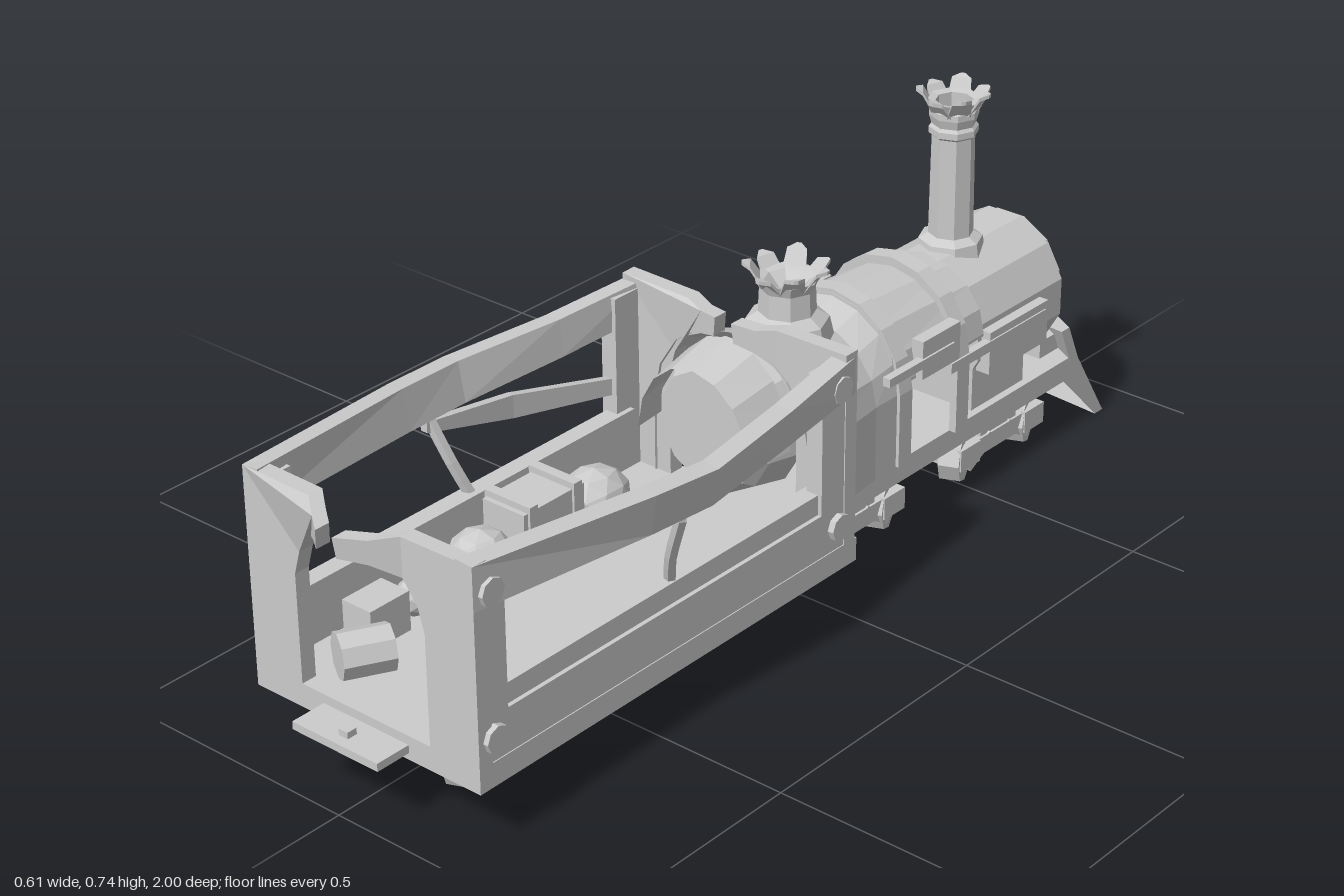
import * as THREE from 'three';

const mat = new THREE.MeshStandardMaterial({ color: 0xcccccc, flatShading: true, side: THREE.DoubleSide });

export function createModel() {
  const root = new THREE.Group();

  const add = (name, geo, x = 0, y = 0, z = 0, parent = root) => {
    const m = new THREE.Mesh(geo, mat);
    m.name = name;
    m.position.set(x, y, z);
    parent.add(m);
    return m;
  };
  // box given by its min and max corners
  const box = (name, x0, x1, y0, y1, z0, z1, parent = root) =>
    add(name, new THREE.BoxGeometry(x1 - x0, y1 - y0, z1 - z0), (x0 + x1) / 2, (y0 + y1) / 2, (z0 + z1) / 2, parent);

  // skin between cross-sections of [x, y, z] points
  const loft = (rings, closed = true, caps = false) => {
    const pos = [];
    const n = rings[0].length;
    for (let r = 0; r < rings.length - 1; r++) {
      for (let i = 0; i < (closed ? n : n - 1); i++) {
        const j = (i + 1) % n, a = rings[r], b = rings[r + 1];
        pos.push(...a[i], ...a[j], ...b[j], ...a[i], ...b[j], ...b[i]);
      }
    }
    if (caps) {
      const first = rings[0], last = rings[rings.length - 1];
      for (let i = 1; i < n - 1; i++) {
        pos.push(...first[0], ...first[i + 1], ...first[i]);
        pos.push(...last[0], ...last[i], ...last[i + 1]);
      }
    }
    const g = new THREE.BufferGeometry();
    g.setAttribute('position', new THREE.Float32BufferAttribute(pos, 3));
    g.computeVertexNormals();
    return g;
  };
  // half-round section standing on straight sides
  const arch = (w, bottom, top, z, spring = 0.3) => {
    const pts = [[w, bottom, z]];
    for (let i = 0; i <= 8; i++) {
      const a = (i / 8) * Math.PI;
      pts.push([w * Math.cos(a), spring + (top - spring) * Math.sin(a), z]);
    }
    pts.push([-w, bottom, z]);
    return pts;
  };
  const ringAt = (r, z, cy = 0.295) => Array.from({ length: 12 }, (_, i) => {
    const a = ((i + 0.5) / 12) * Math.PI * 2;
    return [r * Math.cos(a), cy + r * Math.sin(a), z];
  });

  // chassis
  box('cabFloor', -0.25, 0.25, 0.11, 0.155, -0.01, 0.93);
  box('boilerFloor', -0.14, 0.14, 0.11, 0.155, -0.82, -0.01);
  box('couplerPlate', -0.095, 0.095, 0.123, 0.138, 0.92, 1.0);
  box('couplerPin', -0.01, 0.01, 0.105, 0.15, 0.96, 0.98);

  // bogies: two wheels and a dogbone frame on each side
  for (const z of [0.71, 0.26, -0.17, -0.6]) {
    for (const s of [-1, 1]) {
      const bogie = new THREE.Group();
      bogie.name = 'bogie';
      bogie.position.set(s * 0.098, 0, z);
      root.add(bogie);
      for (const k of [-1, 1]) {
        const wheel = new THREE.CylinderGeometry(0.05, 0.05, 0.04, 8);
        wheel.rotateX(Math.PI / 8).rotateZ(Math.PI / 2);
        add('wheel', wheel, 0, 0.058, k * 0.1, bogie);
        box('axleBox', -0.037, 0.037, 0.045, 0.088, k * 0.1 - 0.03, k * 0.1 + 0.03, bogie);
        const arm = add('frameArm', new THREE.BoxGeometry(0.06, 0.025, 0.08), 0, 0.058, k * 0.06, bogie);
        arm.rotation.x = k * 0.5;
      }
      box('bogieFrame', -0.03, 0.03, 0.05, 0.085, -0.07, 0.07, bogie);
      box('bogieMount', -0.025, 0.025, 0.08, 0.115, -0.055, 0.055, bogie);
    }
  }

  // end walls: mirrored halves round an arched opening, top tips curled outward at the rear
  const wallHalf = (name, s, z, curl) => {
    const outline = [[0.25, 0.155], [0.25, 0.52], [0.1, 0.518], [0.06, 0.51], [0.018, 0.515],
      [0.022, 0.478], [0.06, 0.467], [0.1, 0.445], [0.13, 0.405], [0.143, 0.36], [0.143, 0.155]];
    const shape = new THREE.Shape(outline.map(([x, y]) => new THREE.Vector2(s * x, y)));
    const g = new THREE.ExtrudeGeometry(shape, { depth: 0.03, bevelEnabled: false });
    const p = g.attributes.position;
    for (let i = 0; i < p.count; i++) {
      p.setZ(i, p.getZ(i) + curl * Math.max(0, 0.1 - Math.abs(p.getX(i))));
    }
    g.computeVertexNormals();
    add(name, g, 0, 0, z);
  };
  for (const s of [-1, 1]) {
    wallHalf('rearWall', s, 0.9, 0.8);
    wallHalf('frontWall', s, -0.005, 0.3);
  }

  // cab sides
  for (const s of [-1, 1]) {
    const side = new THREE.Group();
    side.name = 'cabSide';
    side.scale.x = s;
    root.add(side);
    box('lowerPanel', 0.215, 0.248, 0.155, 0.237, 0, 0.93, side);
    box('windowSill', 0.205, 0.24, 0.237, 0.275, 0.05, 0.88, side);
    for (const [a, b] of [[0, 0.085], [0.86, 0.93]]) {
      box('cornerPost', 0.215, 0.248, 0.155, 0.5, a, b, side);
      for (const y of [0.2, 0.465]) {
        const g = new THREE.CylinderGeometry(0.025, 0.025, 0.02, 8);
        add('rivet', g.rotateZ(Math.PI / 2), 0.25, y, (a + b) / 2, side);
      }
    }
    // top rail buckled outward
    const rail = [[0, 0.25, 0.508, 0.44], [0.2, 0.275, 0.495, 0.428], [0.42, 0.305, 0.492, 0.42],
      [0.56, 0.295, 0.5, 0.425], [0.93, 0.25, 0.52, 0.44]]
      .map(([z, x, top, bot]) => {
        const lean = (x - 0.25) * 0.25;
        return [[x, top, z], [x - 0.035, top + 0.003, z], [x - 0.035 - lean, bot, z], [x - lean, bot, z]];
      });
    add('topRail', loft(rail, true, true), 0, 0, 0, side);
    // bent window bar
    const bar = new THREE.CatmullRomCurve3([new THREE.Vector3(0.225, 0.27, 0.45),
      new THREE.Vector3(0.245, 0.33, 0.47), new THREE.Vector3(0.285, 0.425, 0.49)]);
    add('windowBar', new THREE.TubeGeometry(bar, 5, 0.011, 5), 0, 0, 0, side);
  }
  // loose strip hanging below the right rail
  add('hangingStrip', loft([[0.5, -0.285, 0.41, 0.39], [0.3, -0.275, 0.385, 0.34], [0.05, -0.235, 0.335, 0.305]]
    .map(([z, x, t, b]) => [[x, t, z], [x + 0.015, t, z], [x + 0.015, b, z], [x, b, z]]), true, true));

  // firebox flaring toward the cab
  add('firebox', loft([arch(0.175, 0.155, 0.485, 0.03), arch(0.165, 0.155, 0.455, -0.05),
    arch(0.15, 0.155, 0.43, -0.19), arch(0.15, 0.155, 0.45, -0.25)], false));
  add('fireboxHood', loft([arch(0.135, 0.3, 0.475, 0.03), arch(0.125, 0.3, 0.45, 0.13)], false));
  add('backhead', loft([ringAt(0.14, 0, 0.32), ringAt(0.125, 0.07, 0.32), ringAt(0.11, 0.09, 0.32)], true, true));

  // boiler: upper shell above an open middle, bands, smokebox and door
  add('boilerShell', loft([arch(0.147, 0.31, 0.455, -0.25, 0.315), arch(0.14, 0.31, 0.435, -0.52, 0.315)], false));
  for (const z of [-0.27, -0.44]) {
    const out = z - 0.018, w = 0.155;
    add('boilerBand', loft([arch(w - 0.015, 0.155, 0.445, z + 0.018), arch(w, 0.155, 0.462, z + 0.018),
      arch(w, 0.155, 0.462, out), arch(w - 0.015, 0.155, 0.445, out)], false));
  }
  add('smokebox', loft([ringAt(0.14, -0.51), ringAt(0.14, -0.77)], true, true));
  box('smokeboxSaddle', -0.125, 0.125, 0.15, 0.25, -0.67, -0.51);
  add('smokeboxDoor', loft([ringAt(0.12, -0.765, 0.305), ringAt(0.12, -0.79, 0.305),
    ringAt(0.1, -0.795, 0.305), ringAt(0.095, -0.81, 0.305)], true, true));

  // side fittings
  for (const s of [-1, 1]) {
    const fit = new THREE.Group();
    fit.name = 'sideFittings';
    fit.scale.x = s;
    root.add(fit);
    box('sidePanel', 0.135, 0.16, 0.31, 0.385, -0.42, -0.31, fit);
    box('handRail', 0.142, 0.158, 0.285, 0.305, -0.69, -0.4, fit);
    box('handRailUpper', 0.148, 0.164, 0.335, 0.352, -0.4, -0.21, fit);
    box('smokeboxPanel', 0.12, 0.155, 0.235, 0.32, -0.7, -0.52, fit);
  }

  // funnel and dome, each topped by a crown of torn petals
  const lathe = (name, profile, z) =>
    add(name, new THREE.LatheGeometry(profile.map(([r, y]) => new THREE.Vector2(r, y)), 8), 0, 0, z);
  const petals = (y, z, r, len) => {
    for (let i = 0; i < 7; i++) {
      const holder = new THREE.Group();
      holder.name = 'petal';
      holder.position.set(0, y, z);
      holder.rotation.y = (i / 7) * Math.PI * 2 + 0.2;
      root.add(holder);
      const up = i % 2 ? 0.004 : 0.012;
      const rows = [[r - 0.008, -0.015, 0.022], [r + len * 0.5, 0.008 + up, 0.018], [r + len, 0.012 + up, 0.004]]
        .map(([x, h, w]) => [[x, h, -w], [x, h, w], [x, h + 0.007, w], [x, h + 0.007, -w]]);
      add('petalBlade', loft(rows, true, true), 0, 0, 0, holder);
    }
  };
  lathe('funnel', [[0.065, 0.41], [0.06, 0.44], [0.042, 0.45], [0.04, 0.645], [0.046, 0.65], [0.046, 0.662],
    [0.041, 0.668], [0.046, 0.685], [0.046, 0.697], [0.042, 0.7], [0.05, 0.715], [0.035, 0.712], [0.033, 0.45]], -0.6);
  petals(0.705, -0.6, 0.045, 0.025);
  lathe('dome', [[0.085, 0.41], [0.075, 0.455], [0.052, 0.47], [0.05, 0.515], [0.058, 0.535], [0.042, 0.53], [0, 0.49]], -0.125);
  petals(0.532, -0.125, 0.05, 0.03);

  // V-shaped cowcatcher with a bent blade
  const blade = [[0.225, -0.872], [0.15, -0.905], [0, -0.998]].map(([y, z]) => [
    [-0.145, y, z + 0.083], [0, y, z], [0.145, y, z + 0.083],
    [0.145, y, z + 0.108], [0, y, z + 0.025], [-0.145, y, z + 0.108]]);
  add('cowcatcher', loft(blade, true, true));
  box('cowcatcherMount', -0.1, 0.1, 0.12, 0.19, -0.83, -0.76);

  // cargo along the right wall
  const sack = (x, y, z, sx, sy, sz) =>
    add('sack', new THREE.IcosahedronGeometry(1, 1), x, y, z).scale.set(sx, sy, sz);
  sack(-0.14, 0.2, 0.23, 0.06, 0.055, 0.07);
  sack(-0.145, 0.2, 0.51, 0.06, 0.055, 0.06);
  sack(-0.16, 0.185, 0.65, 0.035, 0.035, 0.04);
  box('crate', -0.195, -0.1, 0.155, 0.27, 0.3, 0.45);
  for (const z of [0.32, 0.43]) box('crateBand', -0.2, -0.095, 0.155, 0.282, z - 0.01, z + 0.01);
  box('smallCrate', -0.19, -0.125, 0.155, 0.23, 0.7, 0.79);
  const keg = add('keg', new THREE.CylinderGeometry(0.042, 0.042, 0.09, 8), -0.09, 0.195, 0.84);
  keg.rotation.set(Math.PI / 2, 0, 0.5);

  return root;
}
